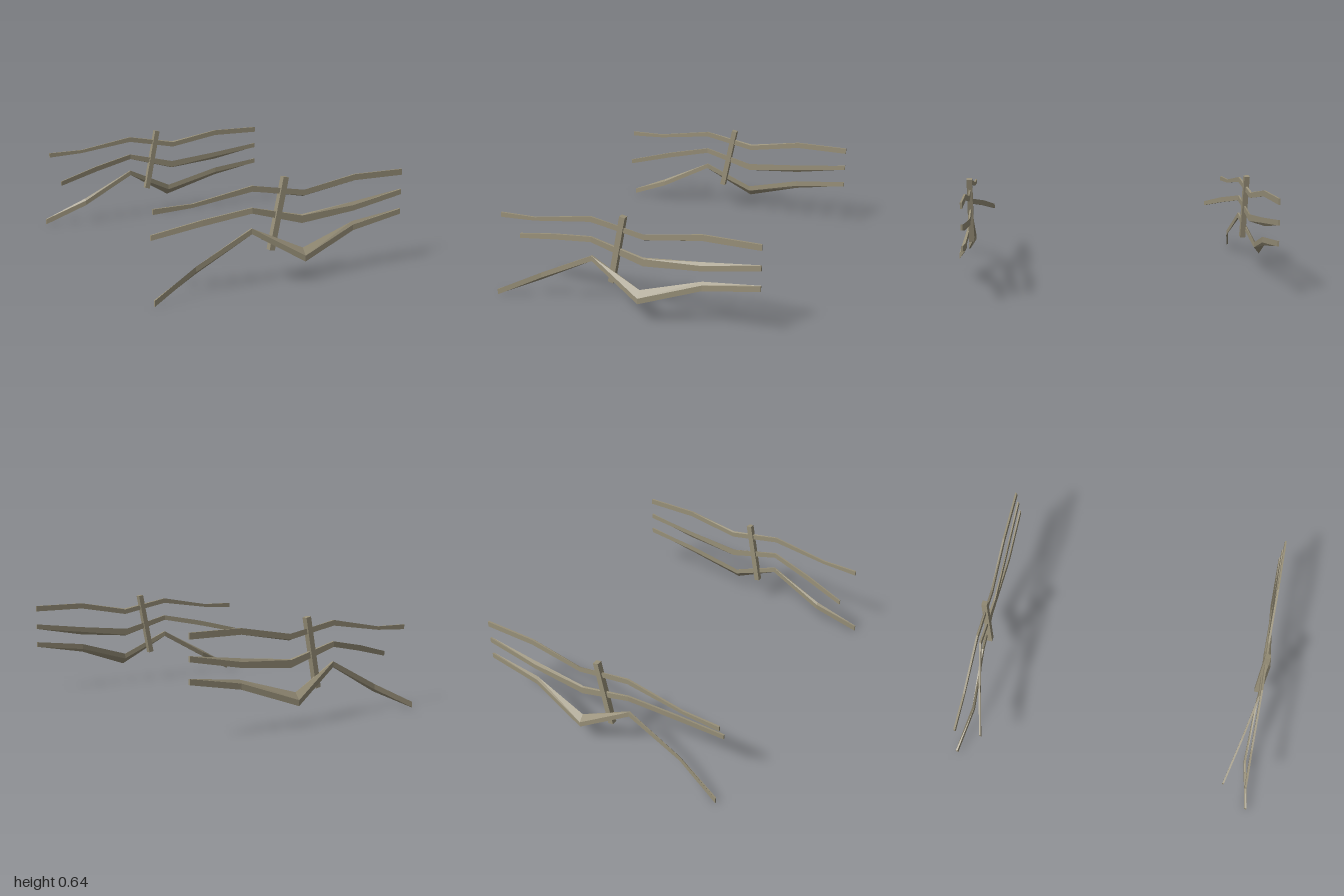
import * as THREE from 'three';

const IN = 0.924, OUT = 0.936, MID = 0.93;

// Stations along each rail: x, inner z, outer z, inner bottom y, outer bottom y, height
const rails = {
  topRail: [
    [-0.83, IN, OUT, 0.51, 0.51, 0.031],
    [-0.59, IN, OUT, 0.523, 0.523, 0.022],
    [-0.21, IN, OUT, 0.576, 0.576, 0.034],
    [0.14, IN, OUT, 0.512, 0.518, 0.034],
    [0.5, IN, OUT, 0.574, 0.574, 0.037],
    [0.855, IN, OUT, 0.574, 0.574, 0.037],
  ],
  middleRail: [
    [-0.79, 0.795, 0.806, 0.325, 0.325, 0.031],
    [-0.5, 0.862, 0.874, 0.39, 0.39, 0.036],
    [-0.21, IN, OUT, 0.446, 0.446, 0.034],
    [0.13, IN, OUT, 0.355, 0.35, 0.046],
    [0.5, IN, OUT, 0.405, 0.385, 0.034],
    [0.855, IN, OUT, 0.45, 0.45, 0.033],
  ],
  bottomRail: [
    [-0.855, 0.988, 1.0, 0.004, 0.004, 0.036],
    [-0.57, IN, OUT, 0.13, 0.145, 0.034],
    [-0.21, IN, OUT, 0.323, 0.323, 0.034],
    [0.12, 0.966, 1.0, 0.172, 0.13, 0.036],
    [0.5, IN, OUT, 0.28, 0.26, 0.036],
    [0.855, IN, OUT, 0.324, 0.324, 0.034],
  ],
};

// Sweep a four-cornered section through the stations; side mirrors it in z
function railGeometry(stations, side) {
  const rings = stations.map(([x, zi, zo, yi, yo, h]) => [
    [x, yo, zo * side], [x, yo + h, zo * side],
    [x, yi + h, zi * side], [x, yi, zi * side],
  ]);
  const pos = [];
  const quad = (a, b, c, d) => {
    const q = side > 0 ? [a, b, c, a, c, d] : [a, c, b, a, d, c];
    q.forEach((p) => pos.push(...p));
  };
  for (let i = 0; i < rings.length - 1; i++) {
    for (let j = 0; j < 4; j++) {
      const k = (j + 1) % 4;
      quad(rings[i][j], rings[i + 1][j], rings[i + 1][k], rings[i][k]);
    }
  }
  quad(...rings[0]);
  quad(...[...rings[rings.length - 1]].reverse());
  const g = new THREE.BufferGeometry();
  g.setAttribute('position', new THREE.Float32BufferAttribute(pos, 3));
  g.computeVertexNormals();
  return g;
}

export function createModel() {
  const model = new THREE.Group();
  model.name = 'brokenFencePair';
  const wood = new THREE.MeshStandardMaterial({ color: 0x989079 });
  wood.name = 'weatheredWood';

  for (const side of [1, -1]) {
    const fence = new THREE.Group();
    fence.name = side > 0 ? 'frontFence' : 'backFence';

    // Bent rails
    for (const [name, stations] of Object.entries(rails)) {
      const rail = new THREE.Mesh(railGeometry(stations, side), wood);
      rail.name = name;
      fence.add(rail);
    }

    // Leaning post
    const post = new THREE.Mesh(new THREE.BoxGeometry(0.036, 0.44, 0.036), wood);
    post.name = 'leaningPost';
    post.position.set(-0.036, 0.427, MID * side);
    post.rotation.z = -0.2;
    fence.add(post);

    model.add(fence);
  }
  return model;
}
